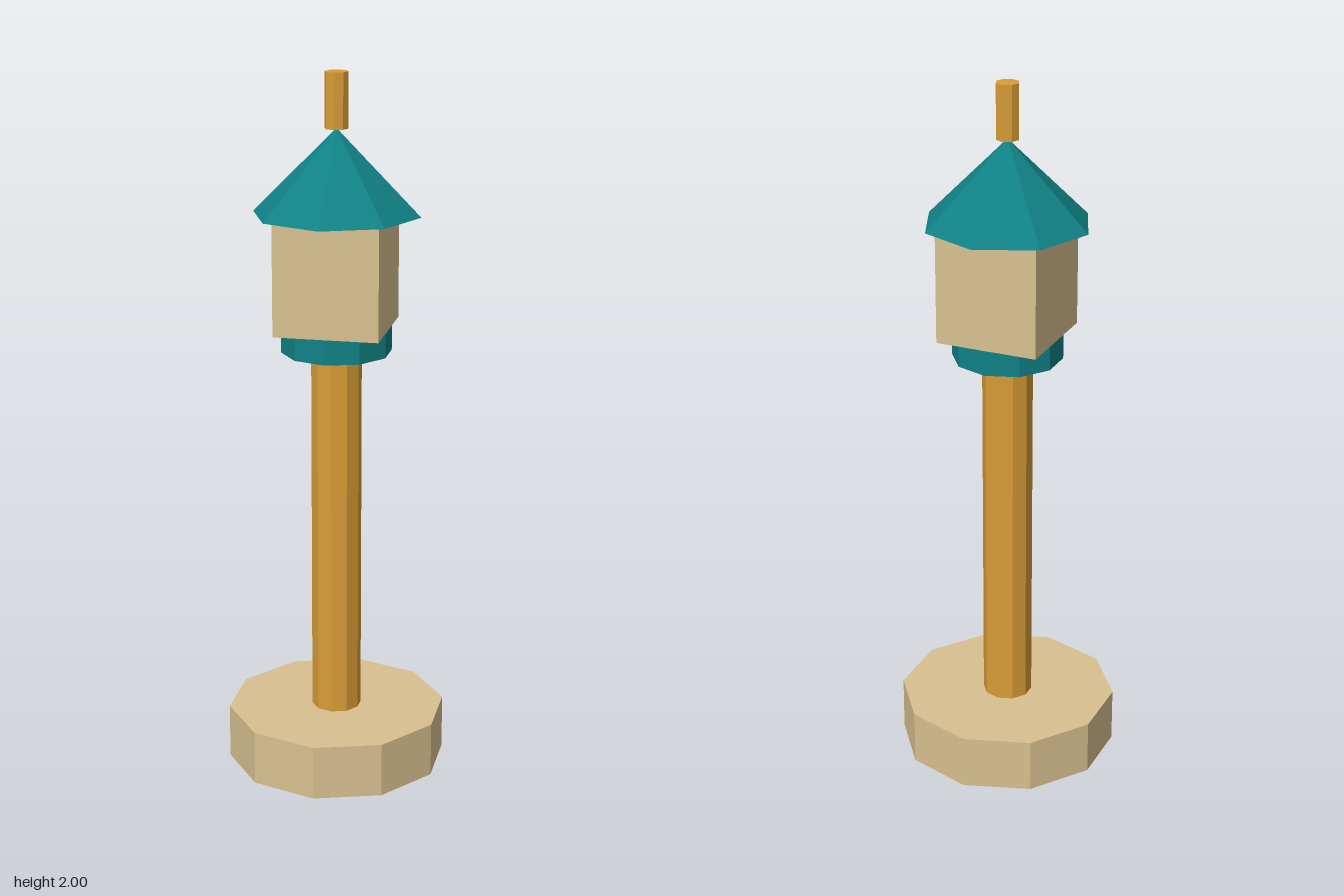
import * as THREE from 'three';

export function createModel() {
  const model = new THREE.Group();
  model.name = 'birdhousePost';

  const material = (name, color) => {
    const m = new THREE.MeshStandardMaterial({ color, flatShading: true });
    m.name = name;
    return m;
  };
  const sand = material('sand', 0xd8c190);
  const ochre = material('ochre', 0xd89d37);
  const teal = material('teal', 0x108286);

  const add = (name, geometry, mat, bottom, top) => {
    const mesh = new THREE.Mesh(geometry, mat);
    mesh.name = name;
    mesh.position.y = (bottom + top) / 2;
    model.add(mesh);
  };
  // Upright faceted prism or cone between two heights
  const prism = (name, mat, rTop, rBottom, bottom, top, sides) =>
    add(name, new THREE.CylinderGeometry(rTop, rBottom, top - bottom, sides), mat, bottom, top);

  prism('base', sand, 0.314, 0.314, 0, 0.157, 10);
  prism('post', ochre, 0.071, 0.071, 0.157, 1.225, 10);
  prism('collar', teal, 0.155, 0.155, 1.225, 1.294, 10);

  // Square housing
  add('housing', new THREE.BoxGeometry(0.294, 0.318, 0.294), sand, 1.294, 1.612);

  // Eight-sided pointed roof and its finial
  add('roof', new THREE.ConeGeometry(0.235, 0.236, 8), teal, 1.612, 1.848);
  prism('finial', ochre, 0.033, 0.033, 1.847, 2, 8);

  return model;
}
